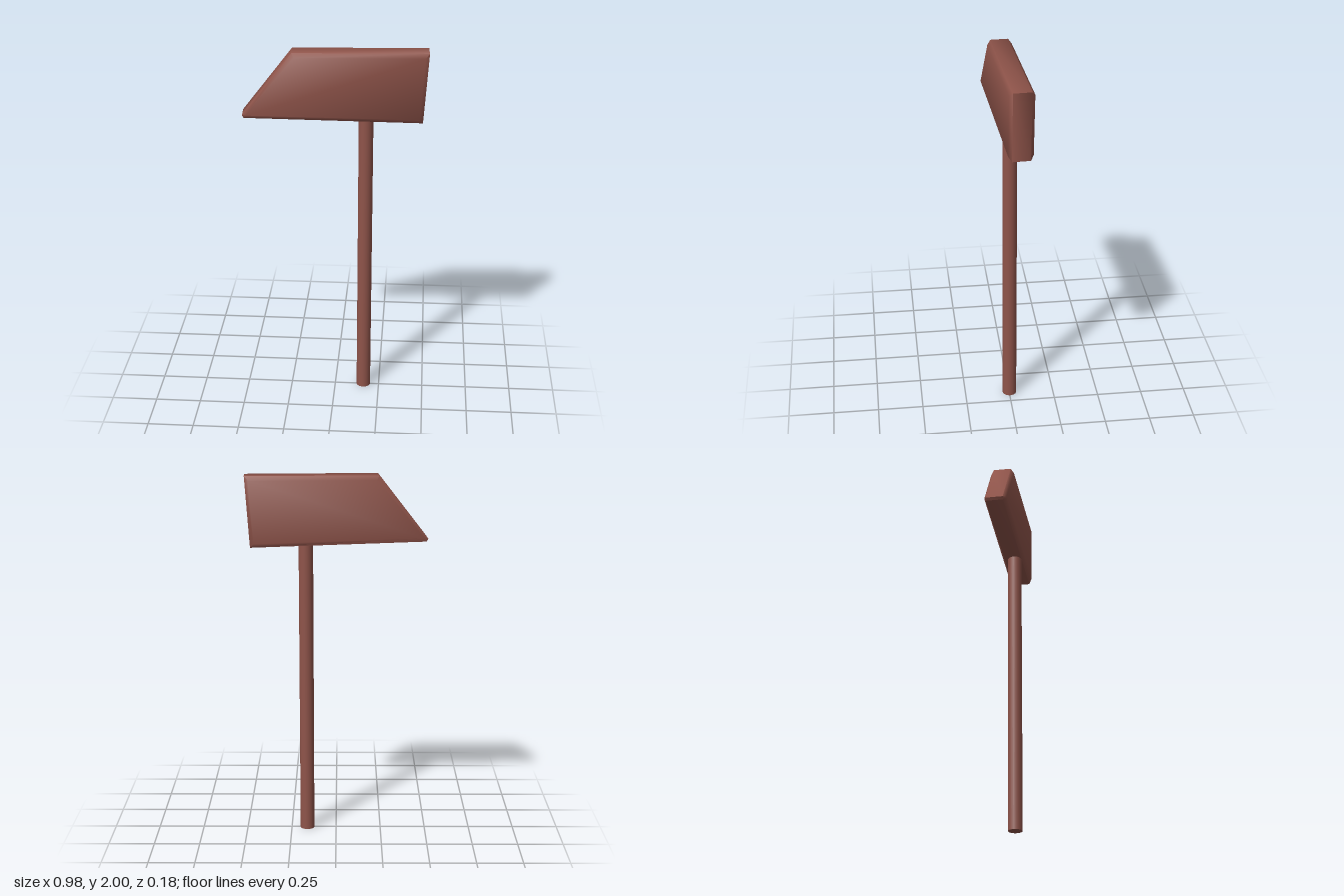
import * as THREE from 'three';
import { toCreasedNormals } from 'three/addons/utils/BufferGeometryUtils.js';

// Silhouette of the head, counter-clockwise from the lower tip, and its bevelled inset
const OUTLINE = [[-0.482, 1.645], [0.46, 1.62], [0.486, 2], [-0.226, 2], [-0.49, 1.66]];
const INSET = [[-0.464, 1.664], [0.44, 1.643], [0.464, 1.977], [-0.213, 1.977], [-0.468, 1.669]];

// Skin the four outlines from front to back and close both faces
function createHeadGeometry() {
  const ring = (points, z, tipZ = z) =>
    points.map(([x, y]) => [x, y, x < -0.4 ? tipZ : z]);
  const rings = [
    ring(INSET, 0.063),
    ring(OUTLINE, 0.046),
    ring(OUTLINE, -0.05),
    ring(INSET, -0.067, -0.058),
  ];
  const positions = [];
  const triangle = (a, b, c) => positions.push(...a, ...b, ...c);
  const n = OUTLINE.length;

  for (let k = 0; k < 3; k++) {
    for (let i = 0; i < n; i++) {
      const j = (i + 1) % n;
      const [a, b, c, d] = [rings[k][i], rings[k][j], rings[k + 1][j], rings[k + 1][i]];
      triangle(a, d, b);
      triangle(b, d, c);
    }
  }
  for (let i = 1; i < n - 1; i++) {
    triangle(rings[0][0], rings[0][i], rings[0][i + 1]);
    triangle(rings[3][0], rings[3][i + 1], rings[3][i]);
  }

  const geometry = new THREE.BufferGeometry();
  geometry.setAttribute('position', new THREE.Float32BufferAttribute(positions, 3));
  return toCreasedNormals(geometry, Math.PI / 3);
}

export function createModel() {
  const model = new THREE.Group();
  model.name = 'hammer';
  const brown = new THREE.MeshStandardMaterial({ color: 0x8f544a });
  brown.name = 'reddish brown';

  // Wedge head, turned slightly on the handle
  const head = new THREE.Mesh(createHeadGeometry(), brown);
  head.name = 'head';
  head.rotation.y = 0.052;
  model.add(head);

  // Straight round handle
  const height = 1.65;
  const handle = new THREE.Mesh(new THREE.CylinderGeometry(0.039, 0.039, height, 20), brown);
  handle.name = 'handle';
  handle.position.set(0.162, height / 2, -0.002);
  model.add(handle);

  return model;
}
